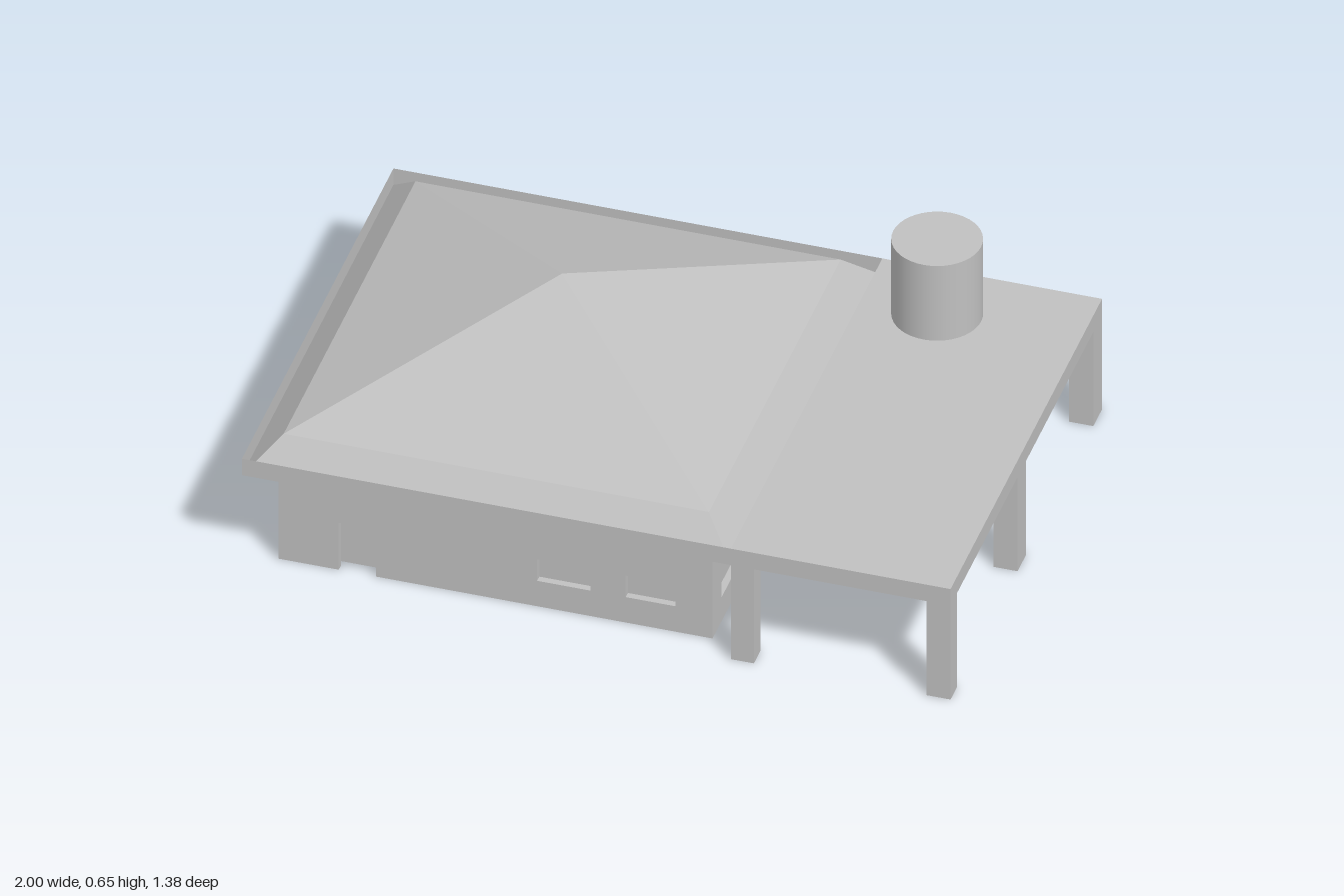
import * as THREE from 'three';

const EAVE = 0.315, TOP = 0.37, WALL = 0.02;
const HOUSE = { x0: -0.92, x1: 0.305, z: 0.615 };
const ROOF_X = -0.31, ROOF_HALF = 0.69;

export function createModel() {
  const model = new THREE.Group();
  model.name = 'house';
  const concrete = new THREE.MeshStandardMaterial({ color: 0xc0c0c0 });
  concrete.name = 'concrete grey';
  const thin = new THREE.MeshStandardMaterial({ color: 0xc0c0c0, side: THREE.DoubleSide });
  thin.name = 'thin concrete grey';

  const add = (name, geometry, material = concrete, parent = model) => {
    const mesh = new THREE.Mesh(geometry, material);
    mesh.name = name;
    parent.add(mesh);
    return mesh;
  };

  // Box given by its lower and upper limits
  const box = (name, x0, x1, y0, y1, z0, z1) => {
    const mesh = add(name, new THREE.BoxGeometry(x1 - x0, y1 - y0, z1 - z0));
    mesh.position.set((x0 + x1) / 2, (y0 + y1) / 2, (z0 + z1) / 2);
    return mesh;
  };

  // Wall panel with window holes [u0, u1, v0, v1] and an optional door notch [u0, u1, height]
  const wall = (name, width, x, z, turn, windows = [], door = null) => {
    const h = width / 2;
    const outline = [[-h, 0]];
    if (door) outline.push([door[0], 0], [door[0], door[2]], [door[1], door[2]], [door[1], 0]);
    outline.push([h, 0], [h, EAVE], [-h, EAVE]);
    const shape = new THREE.Shape(outline.map(([u, v]) => new THREE.Vector2(u, v)));
    for (const [u0, u1, v0, v1] of windows) {
      shape.holes.push(new THREE.Path([
        new THREE.Vector2(u0, v0), new THREE.Vector2(u0, v1),
        new THREE.Vector2(u1, v1), new THREE.Vector2(u1, v0),
      ]));
    }
    const geometry = new THREE.ExtrudeGeometry(shape, { depth: WALL, bevelEnabled: false });
    geometry.translate(0, 0, -WALL);
    const mesh = add(name, geometry);
    mesh.position.set(x, 0, z);
    mesh.rotation.y = turn;
  };

  // House body: inner core shows as the recessed door and window panes
  const { x0, x1, z } = HOUSE;
  const cx = (x0 + x1) / 2;
  box('houseCore', x0 + WALL, x1 - WALL, 0.015, EAVE, -z + WALL, z - WALL);
  wall('frontWall', x1 - x0, cx, z, 0,
    [[-0.19 - cx, -0.04 - cx, 0.085, 0.157], [0.06 - cx, 0.2 - cx, 0.085, 0.157]],
    [-0.75 - cx, -0.645 - cx, 0.157]);
  wall('backWall', x1 - x0, cx, -z, Math.PI);
  wall('leftWall', 2 * (z - WALL), x1, 0, Math.PI / 2,
    [[-0.535, -0.385, 0.08, 0.157], [-0.225, -0.075, 0.08, 0.157]]);
  wall('rightWall', 2 * (z - WALL), x0, 0, -Math.PI / 2);

  // Square profile swept around the roof centre, with flat faces
  const squareLathe = (points, segments, start, length) => {
    const profile = points.map(([half, y]) => new THREE.Vector2(half * Math.SQRT2, y));
    const geometry = new THREE.LatheGeometry(profile, segments, start, length).toNonIndexed();
    geometry.computeVertexNormals();
    return geometry;
  };

  // Hipped roof with steep lower skirt
  const roof = add('hippedRoof',
    squareLathe([[ROOF_HALF, EAVE], [0.6, 0.41], [0, 0.655]], 4, Math.PI / 4, Math.PI * 2));
  roof.position.x = ROOF_X;

  // Thin fascia on the three sides away from the carport
  const fascia = add('roofFascia',
    squareLathe([[ROOF_HALF, EAVE], [ROOF_HALF, TOP]], 3, Math.PI * 0.75, Math.PI * 1.5), thin);
  fascia.position.x = ROOF_X;

  const soffit = add('soffit', new THREE.PlaneGeometry(ROOF_HALF * 2, ROOF_HALF * 2).rotateX(Math.PI / 2));
  soffit.position.set(ROOF_X, EAVE, 0);

  // Small fittings under the eaves
  for (const [x, pz] of [[-0.965, 0.655], [-0.315, 0.655], [0.335, 0.655], [0.335, 0]]) {
    box('eaveFitting', x - 0.008, x + 0.008, 0.297, EAVE, pz - 0.008, pz + 0.008);
  }

  // Carport slab and its six columns
  box('carportSlab', 0.38, 1, EAVE, TOP, -ROOF_HALF, ROOF_HALF);
  for (const [a, b] of [[0.38, 0.445], [0.932, 1]]) {
    for (const [c, d] of [[0.632, 0.69], [0.005, 0.08], [-0.69, -0.61]]) {
      box('carportColumn', a, b, 0, EAVE, c, d);
    }
  }

  // Water tank on the carport
  const tank = add('waterTank', new THREE.CylinderGeometry(0.124, 0.124, 0.25, 40));
  tank.position.set(0.595, TOP + 0.125, -0.495);

  return model;
}
